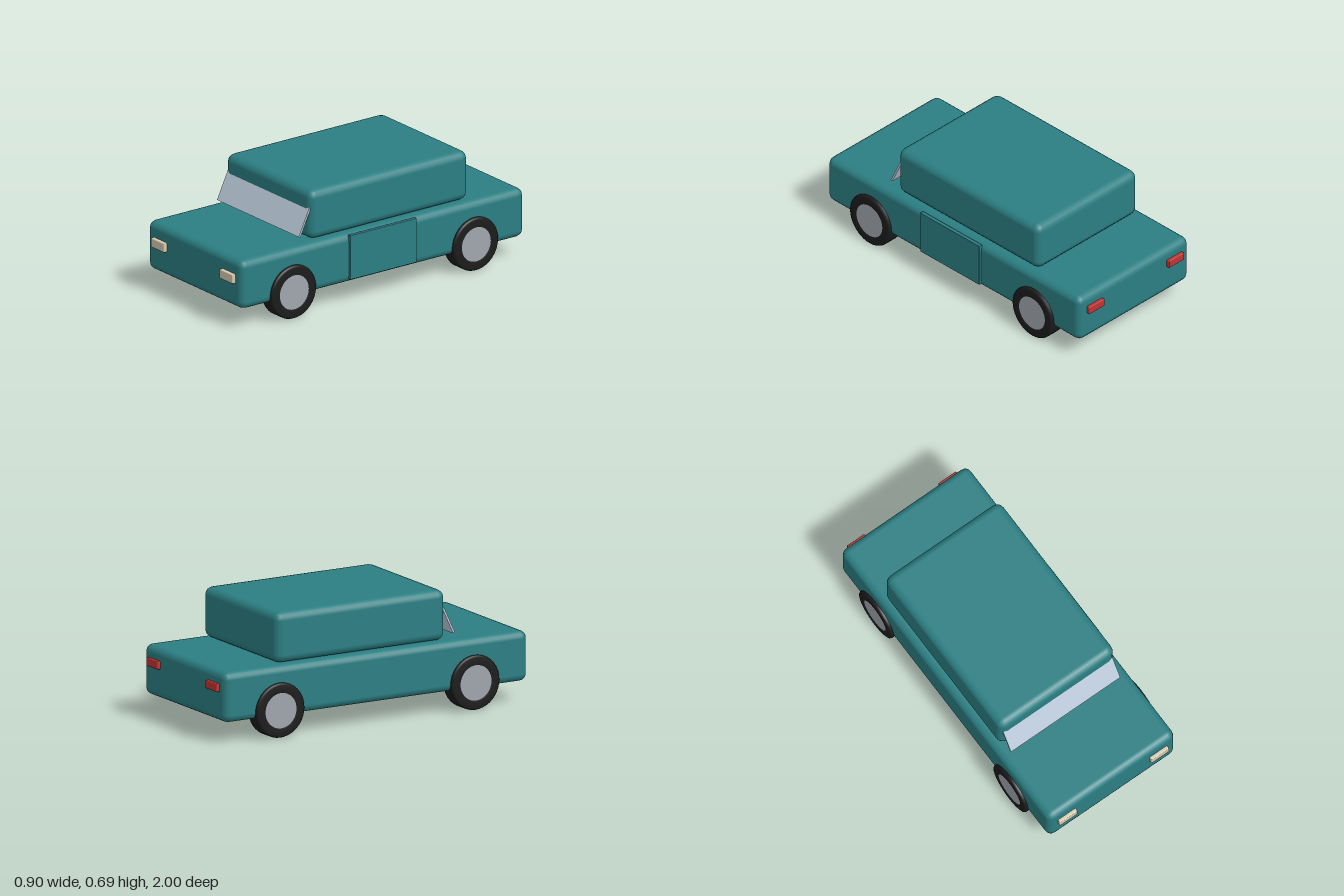
import * as THREE from 'three';
import { RoundedBoxGeometry } from 'three/addons/geometries/RoundedBoxGeometry.js';

const paint = (name, color) => {
  const m = new THREE.MeshStandardMaterial({ color });
  m.name = name;
  return m;
};

export function createModel() {
  const car = new THREE.Group();
  car.name = 'car';

  const teal = paint('tealPaint', 0x2b7f83);
  const glass = paint('paleGlass', 0xbccbdc);
  const rubber = paint('blackRubber', 0x1c1c1c);
  const steel = paint('greySteel', 0xa0a6ae);
  const cream = paint('creamLamp', 0xd8ccb2);
  const red = paint('redLamp', 0xc23434);

  const add = (name, geometry, material, x = 0, y = 0, z = 0) => {
    const mesh = new THREE.Mesh(geometry, material);
    mesh.name = name;
    mesh.position.set(x, y, z);
    car.add(mesh);
    return mesh;
  };
  const rounded = (w, h, d, r) => new RoundedBoxGeometry(w, h, d, 2, r);

  // Body and cabin
  add('body', rounded(0.864, 0.285, 1.96, 0.042), teal, 0, 0.26, 0);
  add('cabin', rounded(0.786, 0.287, 1.096, 0.046), teal, 0, 0.5465, -0.076);

  // Sloping windscreen, its top edge sunk into the cabin
  const windscreen = add('windscreen', new THREE.BoxGeometry(0.744, 0.19, 0.012), glass, 0, 0.52, 0.495);
  windscreen.rotation.x = -0.44;

  // Single raised door on the left side
  add('door', rounded(0.024, 0.26, 0.46, 0.004), teal, 0.435, 0.27, 0.01);

  // Wheels: rounded tyre ring with a hub through it
  const half = 0.052, r = 0.155, b = 0.012;
  const tyreProfile = [
    [0.1, -half + 0.002], [0.108, -half], [r - b, -half], [r - b * 0.3, -half + b * 0.3], [r, -half + b],
    [r, half - b], [r - b * 0.3, half - b * 0.3], [r - b, half], [0.108, half], [0.1, half - 0.002],
  ].map(([x, y]) => new THREE.Vector2(x, y));
  const tyre = new THREE.LatheGeometry(tyreProfile, 40).rotateZ(-Math.PI / 2);
  const hub = new THREE.CylinderGeometry(0.1, 0.1, 2 * half - 0.004, 40).rotateZ(-Math.PI / 2);

  for (const side of [1, -1]) {
    const label = side > 0 ? 'Left' : 'Right';
    for (const end of [1, -1]) {
      const place = (end > 0 ? 'front' : 'rear') + label;
      add(place + 'Tyre', tyre, rubber, side * 0.399, r, end * 0.63);
      add(place + 'Hub', hub, steel, side * 0.399, r, end * 0.63);
    }
    // Lamps
    add('headlight' + label, rounded(0.12, 0.055, 0.04, 0.006), cream, side * 0.312, 0.29, 0.98);
    add('taillight' + label, rounded(0.12, 0.046, 0.04, 0.005), red, side * 0.312, 0.312, -0.98);
  }

  return car;
}
